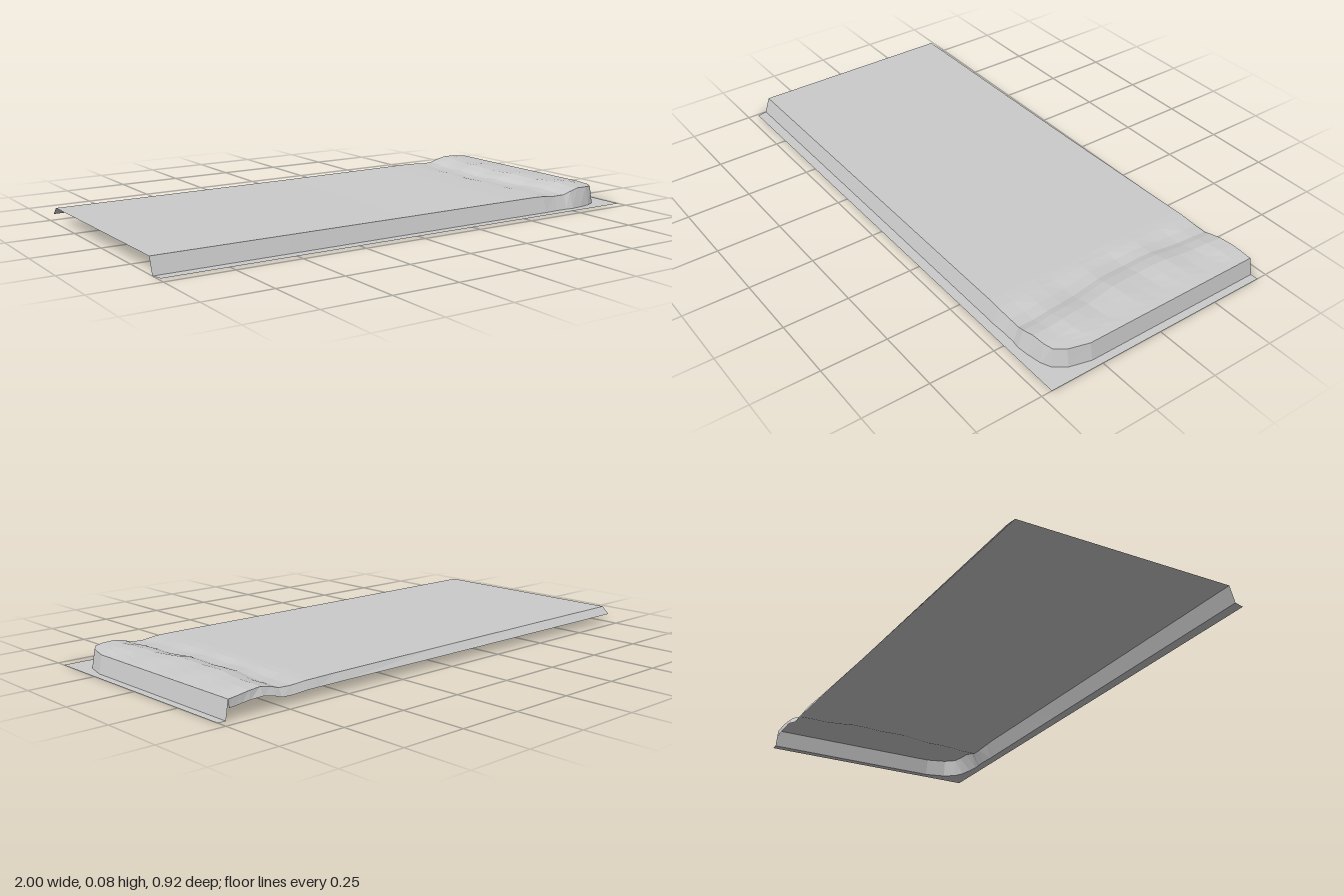
import * as THREE from 'three';

const material = new THREE.MeshStandardMaterial({ color: 0xcccccc, flatShading: true, side: THREE.DoubleSide });

// Stations along the length: x, front edge z, back crest z, height
const stations = [
  [-1, 0.4, -0.432, 0.06], [-0.5, 0.401, -0.433, 0.06], [0, 0.402, -0.436, 0.06],
  [0.5, 0.404, -0.442, 0.061], [0.6, 0.404, -0.445, 0.061], [0.64, 0.405, -0.445, 0.06],
  [0.69, 0.402, -0.445, 0.055], [0.735, 0.403, -0.443, 0.056], [0.765, 0.407, -0.442, 0.066],
  [0.81, 0.402, -0.445, 0.075], [0.86, 0.398, -0.452, 0.074], [0.9, 0.388, -0.455, 0.071],
  [0.935, 0.35, -0.456, 0.068], [0.957, 0.27, -0.457, 0.066],
];
const rows = 14;

// Height of the panel, with a gentle ripple across the raised end
function topPoint([x, zf, zb, h], t) {
  const z = THREE.MathUtils.lerp(zb, zf, t);
  const bump = THREE.MathUtils.smoothstep(x, 0.6, 0.72) * (1 - THREE.MathUtils.smoothstep(x, 0.85, 0.955));
  const bend = bump * 0.018 * Math.sin(z * 7 + 2.2);
  return [x - bend, h + bump * 0.003 * Math.cos(z * 28 - 1), z];
}

// Surface through a list of cross-sections with equal point counts
function loft(name, sections) {
  const n = sections[0].length;
  const index = [];
  for (let i = 0; i < sections.length - 1; i++) {
    for (let j = 0; j < n - 1; j++) {
      const a = i * n + j, b = a + n;
      index.push(a, a + 1, b, b, a + 1, b + 1);
    }
  }
  const geometry = new THREE.BufferGeometry();
  geometry.setAttribute('position', new THREE.Float32BufferAttribute(sections.flat(2), 3));
  geometry.setIndex(index);
  geometry.computeVertexNormals();
  const mesh = new THREE.Mesh(geometry, material);
  mesh.name = name;
  return mesh;
}

export function createModel() {
  const group = new THREE.Group();
  group.name = 'pressedPanel';

  // Main panel with its groove and raised end
  const top = stations.map((s) => Array.from({ length: rows + 1 }, (_, j) => topPoint(s, j / rows)));
  group.add(loft('topPanel', top));

  // Rolled lip along the back edge
  group.add(loft('backLip', top.map((col) => {
    const [x, y, z] = col[0];
    return [[x, y - 0.028, -0.46], [x, y, z]];
  })));

  // Skirt wall: along the front, round the corner, along the end
  const last = top[top.length - 1];
  const rim = [...top.map((col) => col[rows]), ...last.slice(0, rows).reverse()];
  const foot = rim.map(([x, y, z], i) => {
    const turn = THREE.MathUtils.smoothstep(x, 0.83, 0.957);
    const endZ = i === rim.length - 1 ? -0.46 : z;
    return [x + 0.013 * turn, 0, endZ + 0.02 * (1 - turn)];
  });
  group.add(loft('skirtWall', rim.map((p, i) => [p, foot[i]])));

  // Flat flange around the foot of the skirt
  const outline = [...foot.map(([x, , z]) => new THREE.Vector2(x, -z)),
    new THREE.Vector2(1, 0.46), new THREE.Vector2(1, -0.46), new THREE.Vector2(-0.99, -0.46)];
  const flange = new THREE.Mesh(new THREE.ShapeGeometry(new THREE.Shape(outline)), material);
  flange.rotation.x = -Math.PI / 2;
  flange.name = 'flange';
  group.add(flange);

  return group;
}
